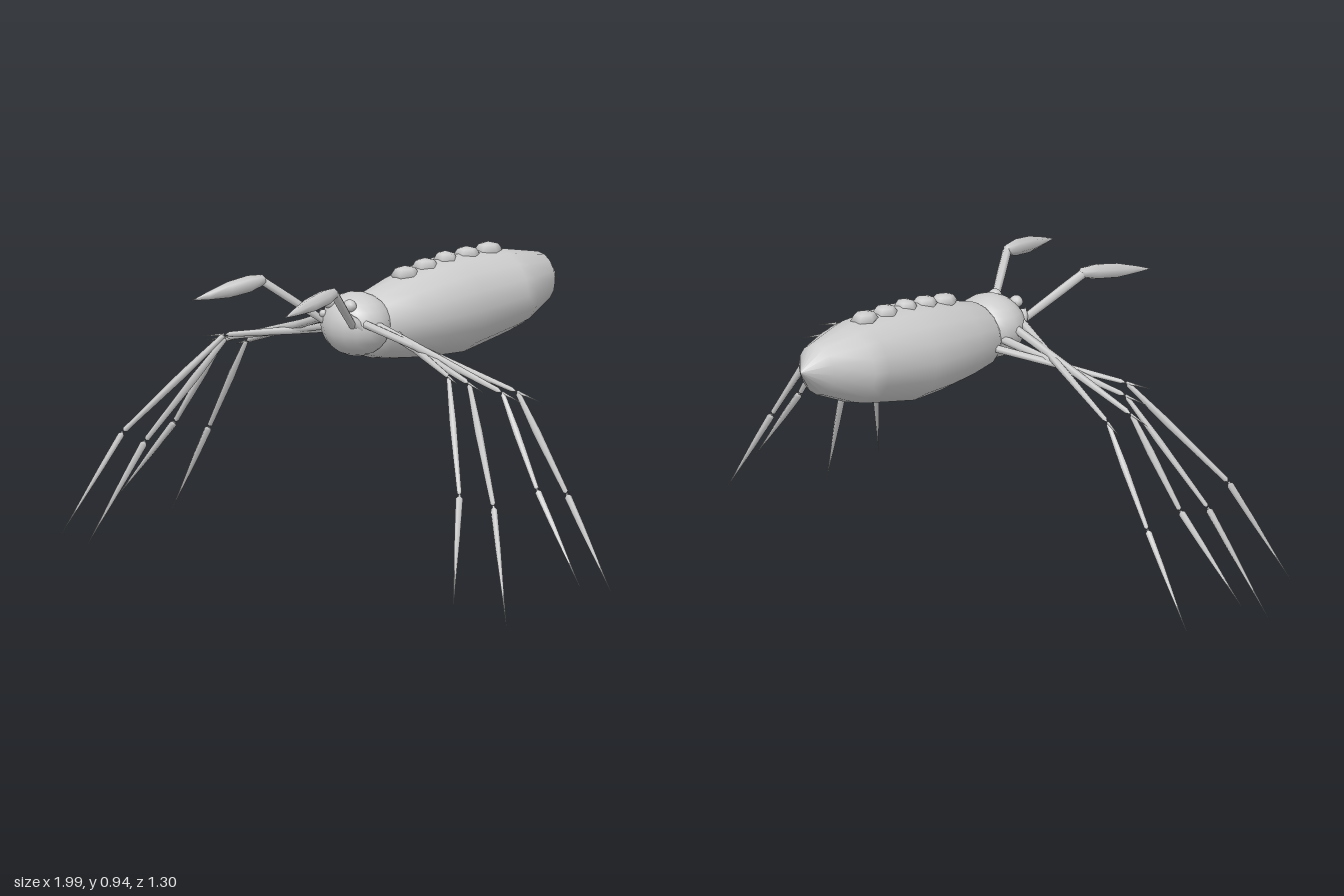
import * as THREE from 'three';

const material = new THREE.MeshStandardMaterial({ color: 0xcccccc });
const V = (p) => new THREE.Vector3(...p);

function add(parent, name, geometry) {
  const mesh = new THREE.Mesh(geometry, material);
  mesh.name = name;
  parent.add(mesh);
  return mesh;
}

// Turned limb from a to b; profile holds [radius, fraction along the limb]
function limb(parent, name, a, b, profile, sides = 6) {
  const dir = V(b).sub(V(a));
  const length = dir.length();
  const points = profile.map(([r, t]) => new THREE.Vector2(r, t * length));
  const mesh = add(parent, name, new THREE.LatheGeometry(points, sides));
  mesh.position.copy(V(a));
  mesh.quaternion.setFromUnitVectors(new THREE.Vector3(0, 1, 0), dir.normalize());
  return mesh;
}

function ball(parent, name, position, scale, w = 10, h = 8) {
  const mesh = add(parent, name, new THREE.SphereGeometry(1, w, h));
  mesh.position.set(...position);
  mesh.scale.set(...scale);
  return mesh;
}

// Closed skin over elliptical rings [z, centreY, halfWidth, halfHeight], running front to back
function loft(rings, sides) {
  const positions = [], index = [];
  for (const [z, cy, w, h] of rings) {
    for (let j = 0; j < sides; j++) {
      const a = (j / sides) * Math.PI * 2;
      positions.push(Math.cos(a) * w, cy + Math.sin(a) * h, z);
    }
  }
  for (let i = 0; i < rings.length - 1; i++) {
    for (let j = 0; j < sides; j++) {
      const a = i * sides + j, b = i * sides + ((j + 1) % sides);
      index.push(a, a + sides, b, b, a + sides, b + sides);
    }
  }
  const geometry = new THREE.BufferGeometry();
  geometry.setAttribute('position', new THREE.Float32BufferAttribute(positions, 3));
  geometry.setIndex(index);
  geometry.computeVertexNormals();
  return geometry;
}

const FEMUR = [[0, 0], [0.013, 0.02], [0.012, 0.5], [0.008, 0.96], [0, 1]];
const SHANK = [[0, 0], [0.008, 0.02], [0.012, 0.4], [0.008, 0.98], [0, 1]];
const FOOT = [[0, 0], [0.011, 0.03], [0.009, 0.35], [0, 1]];
const SPUR = [[0.005, 0], [0, 1]];

// Hip, knee, ankle and tip of each left leg; the thighs cross beside the body
const LEGS = [
  [[0.08, 0.785, 0.215], [0.58, 0.625, 0.06], [0.765, 0.34, 0.035], [0.94, 0.065, 0.02]],
  [[0.08, 0.78, 0.175], [0.6, 0.635, 0.14], [0.775, 0.37, 0.165], [0.995, 0.11, 0.2]],
  [[0.08, 0.755, 0.125], [0.52, 0.66, 0.2], [0.745, 0.335, 0.315], [0.9, 0.005, 0.41]],
  [[0.08, 0.738, 0.08], [0.48, 0.68, 0.245], [0.72, 0.38, 0.43], [0.84, 0.07, 0.57]],
];

export function createModel() {
  const model = new THREE.Group();
  model.name = 'spider';

  // Abdomen tapering to a blunt point at the back
  add(model, 'abdomen', loft([
    [0.17, 0.735, 0, 0], [0.15, 0.745, 0.07, 0.075], [0.1, 0.755, 0.105, 0.1],
    [0, 0.763, 0.13, 0.122], [-0.1, 0.77, 0.145, 0.137], [-0.22, 0.777, 0.152, 0.147],
    [-0.41, 0.795, 0.138, 0.126], [-0.46, 0.797, 0.127, 0.115],
    [-0.58, 0.812, 0.073, 0.078], [-0.65, 0.82, 0, 0],
  ], 16));

  // Head
  ball(model, 'head', [0, 0.767, 0.165], [0.112, 0.096, 0.1], 16, 12);

  // Row of humps along the back
  const humps = [[-0.375, 0.92, 0.046], [-0.287, 0.917, 0.042], [-0.2, 0.914, 0.036],
    [-0.117, 0.903, 0.042], [-0.035, 0.89, 0.046]];
  humps.forEach(([z, y, r], i) => {
    ball(model, 'backHump' + (i + 1), [0, y, z], [0.039, 0.026, r], 6, 4);
  });

  for (const s of [1, -1]) {
    const mir = ([x, y, z]) => [s * x, y, z];
    const side = s > 0 ? 'left' : 'right';

    // Eyes
    ball(model, side + 'Eye', mir([0.043, 0.834, 0.232]), [0.021, 0.019, 0.02]);
    ball(model, side + 'SmallEye', mir([0.058, 0.8, 0.245]), [0.012, 0.012, 0.012]);

    // Feeler with a clubbed end
    const feeler = new THREE.Group();
    feeler.name = side + 'Feeler';
    limb(feeler, 'feelerBase', mir([0.085, 0.745, 0.2]), mir([0.06, 0.815, 0.255]),
      [[0, 0], [0.014, 0.3], [0.014, 0.7], [0, 1]]);
    limb(feeler, 'feelerArm', mir([0.06, 0.775, 0.235]), mir([0.157, 0.908, 0.405]),
      [[0, 0], [0.012, 0.02], [0.014, 0.6], [0.014, 0.97], [0, 1]]);
    limb(feeler, 'feelerClub', mir([0.15, 0.91, 0.39]), mir([0.199, 0.87, 0.648]),
      [[0, 0], [0.016, 0.04], [0.025, 0.22], [0.024, 0.5], [0.012, 0.78], [0, 1]]);
    limb(feeler, 'feelerSpur', mir([0.153, 0.9, 0.4]), mir([0.17, 0.925, 0.455]), SPUR, 4);
    model.add(feeler);

    // Legs
    LEGS.forEach((joints, i) => {
      const leg = new THREE.Group();
      leg.name = side + 'Leg' + (i + 1);
      const [hip, knee, ankle, tip] = joints.map(mir);
      limb(leg, 'thigh', hip, knee, FEMUR);
      limb(leg, 'shank', knee, ankle, SHANK);
      limb(leg, 'foot', ankle, tip, FOOT);
      // Thin spurs carrying on past the knee and ankle
      const past = (a, b, d) => V(b).add(V(b).sub(V(a)).setLength(d)).toArray();
      limb(leg, 'kneeSpur', knee, past(hip, knee, 0.08), SPUR, 4);
      limb(leg, 'ankleSpur', ankle, past(knee, ankle, 0.035), SPUR, 4);
      model.add(leg);
    });
  }
  return model;
}
